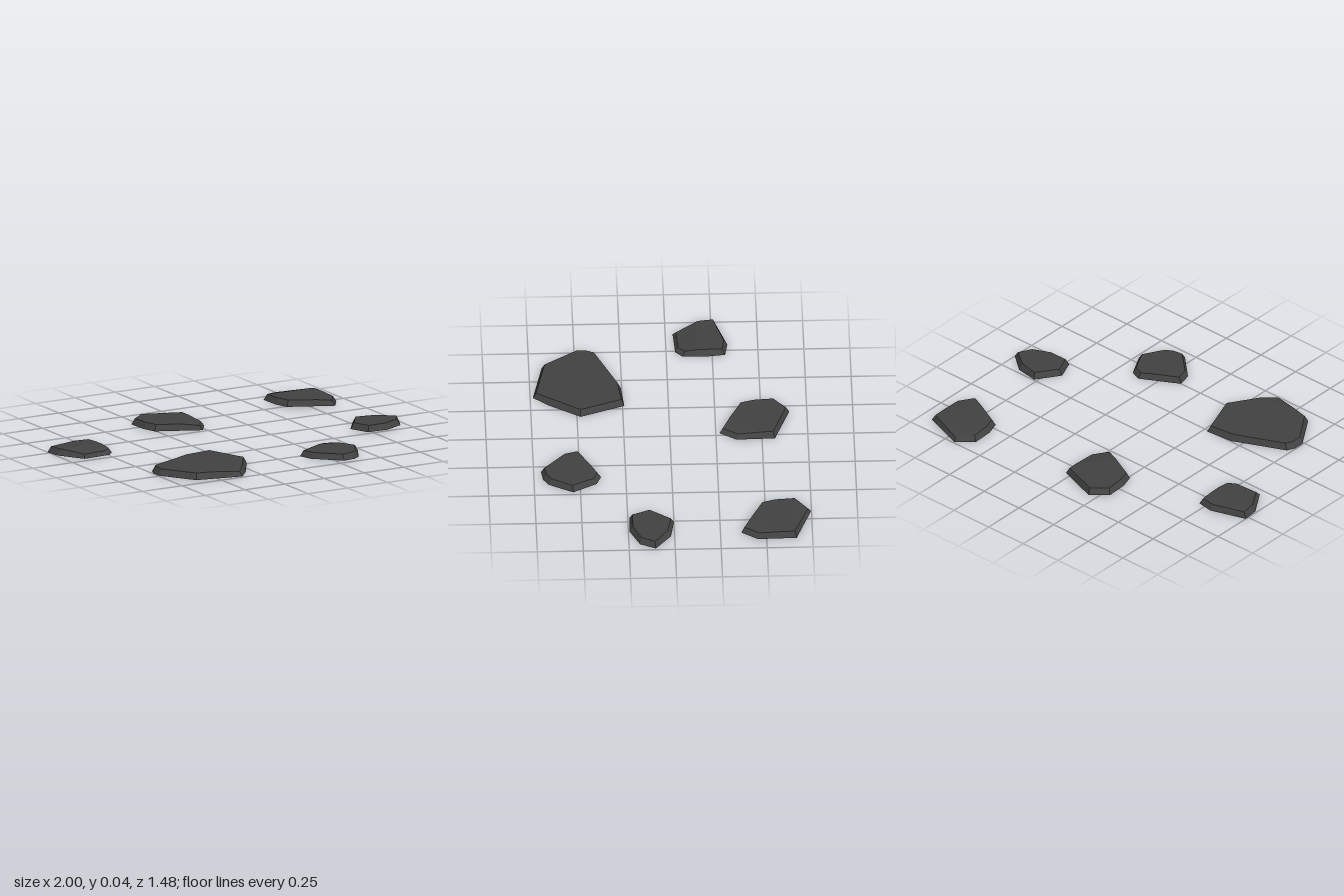
import * as THREE from 'three';

// Outlines are [x, z] at ground level; each slope is [x, z, dirX, dirZ, fall]:
// beyond the line through (x, z), the top falls away along the direction.
const slab = [[-.29, -.58], [-.2, -.655], [.035, -.57], [.04, -.36], [-.02, -.27], [-.26, -.38], [-.285, -.46]];
const stones = [
  { name: 'leftStone', base: 0, top: .034, slopes: [[-.85, -.17, 0, 1, .12], [-.85, -.24, 0, -1, .05]],
    outline: [[-1, -.27], [-.8, -.335], [-.71, -.32], [-.7, -.235], [-.7, -.09], [-.74, -.05], [-.9, -.04], [-.99, -.18]] },
  { name: 'backStone', base: 0, top: .034, slopes: [[.03, -.52, .8, .6, .11]], outline: slab },
  { name: 'backRightStone', base: .005, top: .038, slopes: [[.92, -.6, .8, .6, .06], [.7, -.66, 0, -1, .22]],
    outline: slab.map(([x, z]) => [x + .888, z - .093]) },
  { name: 'rightStone', base: .005, top: .038, slopes: [],
    outline: [[.675, .13], [.765, 0], [.89, .02], [.995, .105], [.955, .19], [.84, .245], [.72, .24]] },
  { name: 'frontStone', base: 0, top: .032, slopes: [[.35, .44, .25, -.97, .15]],
    outline: [[.14, .5], [.35, .385], [.41, .41], [.48, .54], [.41, .67], [.365, .7], [.295, .71], [.16, .58]] },
  { name: 'largeStone', base: 0, top: .035, slopes: [[-.36, .65, .2, .98, .15]],
    outline: [[-.745, .43], [-.725, .385], [-.435, .255], [-.275, .24], [-.185, .48], [-.29, .65], [-.36, .735], [-.62, .68], [-.745, .49]] },
];

const beyond = ([x, z, dx, dz], p) => (p.x - x) * dx + (p.z - z) * dz;

function stoneGeometry({ outline, base, top, slopes }) {
  const n = outline.length;
  const cx = outline.reduce((s, p) => s + p[0], 0) / n;
  const cz = outline.reduce((s, p) => s + p[1], 0) / n;

  // Pair each ground corner with an inset corner of the top face
  let ring = outline.map(([x, z]) => {
    const k = .02 / Math.hypot(cx - x, cz - z);
    return {
      low: new THREE.Vector3(x, base, z),
      high: new THREE.Vector3(x + (cx - x) * k, top, z + (cz - z) * k),
    };
  }).reverse();

  // Add corners where a crease meets the rim
  for (const s of slopes) {
    ring = ring.flatMap((a, i) => {
      const b = ring[(i + 1) % ring.length];
      const da = beyond(s, a.high), db = beyond(s, b.high);
      if (da * db >= 0) return [a];
      const t = da / (da - db);
      return [a, { low: a.low.clone().lerp(b.low, t), high: a.high.clone().lerp(b.high, t) }];
    });
  }
  for (const { high } of ring) {
    for (const s of slopes) high.y -= s[4] * Math.max(0, beyond(s, high));
  }

  const pos = [];
  const tri = (...pts) => pts.forEach(p => pos.push(p.x, p.y, p.z));
  const fan = pts => {
    for (let i = 1; i < pts.length - 1; i++) tri(pts[0], pts[i], pts[i + 1]);
  };

  // Top facets, underside and bevelled rim
  const highs = ring.map(r => r.high);
  fan(highs.filter(p => slopes.every(s => beyond(s, p) < 1e-6)));
  for (const s of slopes) fan(highs.filter(p => beyond(s, p) > -1e-6));
  fan(ring.map(r => r.low).reverse());
  ring.forEach((a, i) => {
    const b = ring[(i + 1) % ring.length];
    fan([a.low, b.low, b.high, a.high]);
  });

  const geometry = new THREE.BufferGeometry();
  geometry.setAttribute('position', new THREE.Float32BufferAttribute(pos, 3));
  geometry.computeVertexNormals();
  return geometry;
}

export function createModel() {
  const group = new THREE.Group();
  group.name = 'steppingStones';
  const rock = new THREE.MeshStandardMaterial({ color: 0x424242, flatShading: true });
  rock.name = 'dark grey rock';
  for (const stone of stones) {
    const mesh = new THREE.Mesh(stoneGeometry(stone), rock);
    mesh.name = stone.name;
    group.add(mesh);
  }
  return group;
}
